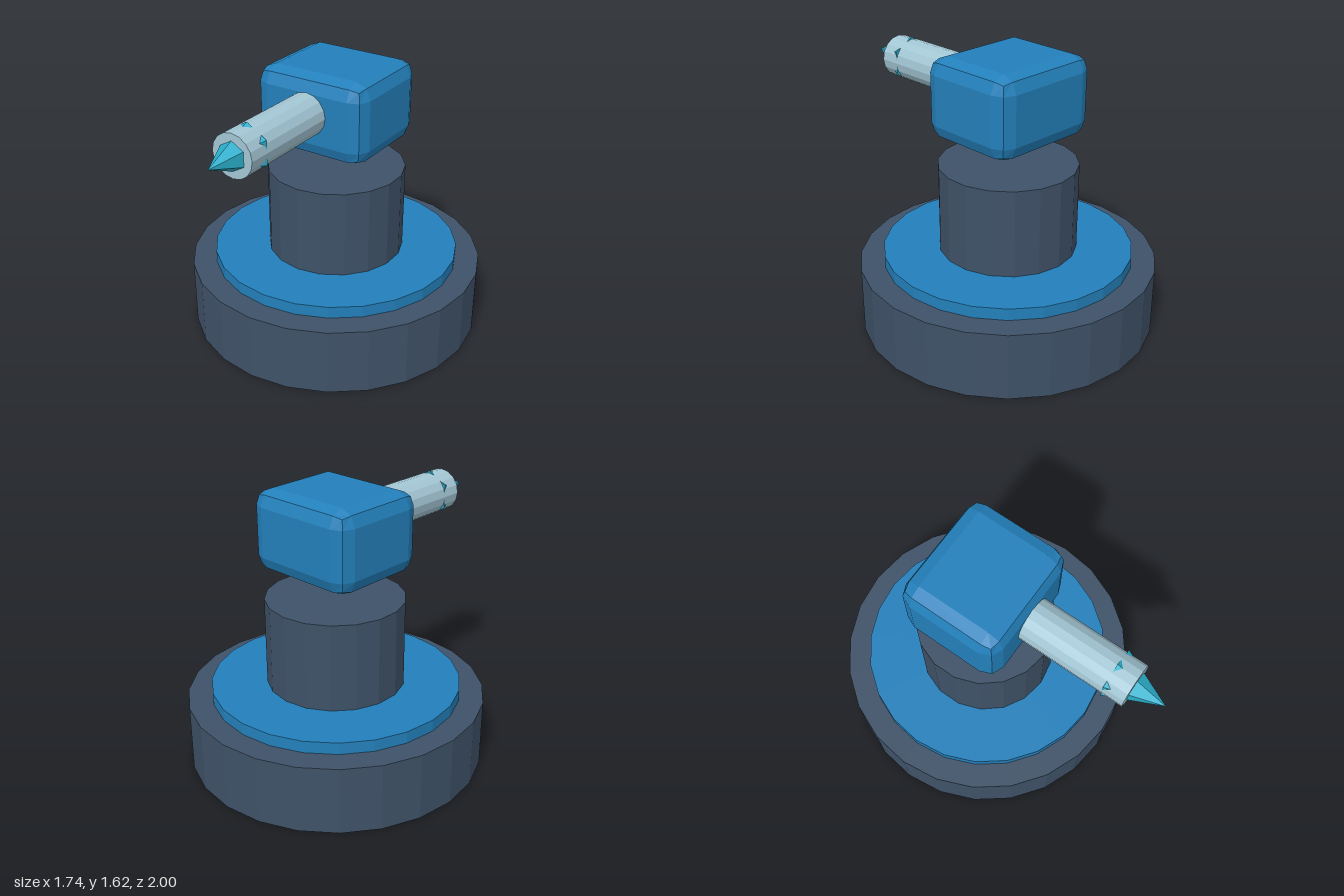
import * as THREE from 'three';
import { RoundedBoxGeometry } from 'three/addons/geometries/RoundedBoxGeometry.js';

const material = (name, color) => {
  const m = new THREE.MeshStandardMaterial({ color, flatShading: true });
  m.name = name;
  return m;
};

export function createModel() {
  const slate = material('slate', 0x3f5268);
  const blue = material('blue', 0x2380bb);
  const paleSteel = material('paleSteel', 0xa3c6d4);
  const cyan = material('cyan', 0x2aaecb);

  const group = new THREE.Group();
  const add = (name, geometry, mat, x, y, z) => {
    const mesh = new THREE.Mesh(geometry, mat);
    mesh.name = name;
    mesh.position.set(x, y, z);
    group.add(mesh);
    return mesh;
  };

  // Stacked round pedestal, sharing one vertical axis
  const axisZ = -0.13;
  const drum = (name, radius, bottom, top, sides, mat) =>
    add(name, new THREE.CylinderGeometry(radius, radius, top - bottom, sides), mat,
      0, (top + bottom) / 2, axisZ);
  drum('base', 0.87, 0, 0.4, 24, slate);
  drum('turntableRing', 0.73, 0.4, 0.47, 24, blue);
  drum('column', 0.404, 0.47, 0.99, 18, slate);

  // Floating head with bevelled edges
  add('head', new RoundedBoxGeometry(0.7, 0.475, 0.615, 1, 0.092), blue, 0, 1.383, axisZ);

  // Barrel, running from inside the head to the muzzle
  const aimY = 1.408;
  const barrel = new THREE.CylinderGeometry(0.125, 0.125, 0.815, 16).rotateX(Math.PI / 2);
  add('barrel', barrel, paleSteel, 0, aimY, 0.4075);

  // Six-sided crystal tip; its base corners poke out through the barrel wall
  const tip = new THREE.ConeGeometry(0.14, 0.31, 6).rotateX(Math.PI / 2);
  add('crystalTip', tip, cyan, 0, aimY, 0.845);

  return group;
}
